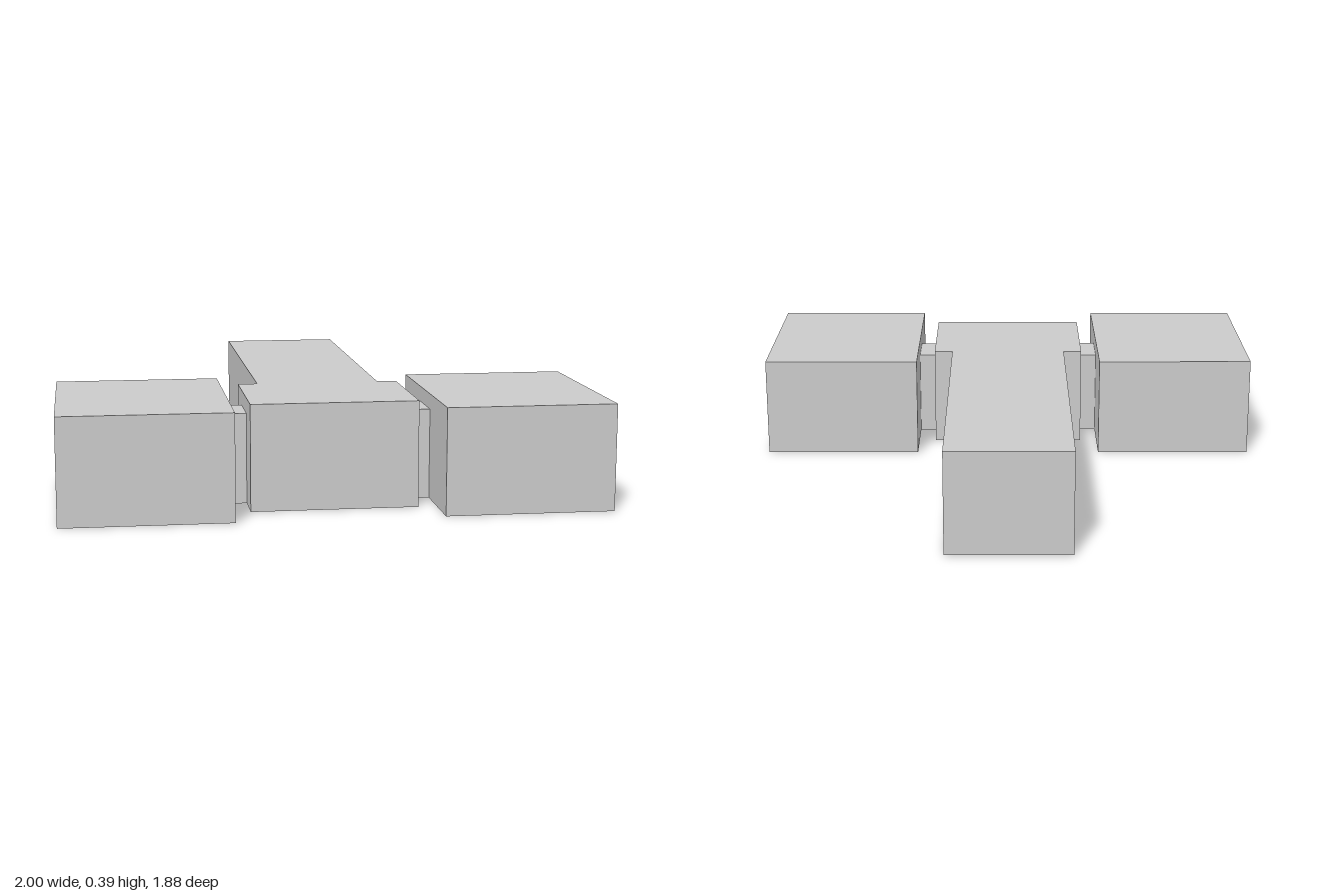
import * as THREE from 'three';

const HEIGHT = 0.394;

export function createModel() {
  const model = new THREE.Group();
  const material = new THREE.MeshStandardMaterial({ color: 0xcccccc, flatShading: true });

  // Box standing on the ground, given by its x and z ranges
  const addBlock = (name, x0, x1, z0, z1, height) => {
    const mesh = new THREE.Mesh(new THREE.BoxGeometry(x1 - x0, height, z1 - z0), material);
    mesh.position.set((x0 + x1) / 2, height / 2, (z0 + z1) / 2);
    mesh.name = name;
    model.add(mesh);
  };

  // Central body: long rear bar with a wider front head, as one T-shaped outline (x, z)
  const half = [[0.308, 0.78], [0.308, 0.312], [0.234, 0.312], [0.234, -0.94]];
  const outline = [...half, ...half.map(([x, z]) => [-x, z]).reverse()];
  const shape = new THREE.Shape(outline.map(([x, z]) => new THREE.Vector2(x, -z)));
  const bodyGeometry = new THREE.ExtrudeGeometry(shape, { depth: HEIGHT, bevelEnabled: false });
  bodyGeometry.rotateX(-Math.PI / 2);
  const body = new THREE.Mesh(bodyGeometry, material);
  body.name = 'body';
  model.add(body);

  // Side blocks, each joined to the head by a lower connector
  for (const [side, s] of [['left', 1], ['right', -1]]) {
    const range = (a, b) => (s > 0 ? [a, b] : [-b, -a]);
    addBlock(`${side}Block`, ...range(0.377, 1), 0.158, 0.94, HEIGHT);
    addBlock(`${side}Connector`, ...range(0.308, 0.377), 0.453, 0.637, 0.337);
  }

  return model;
}
